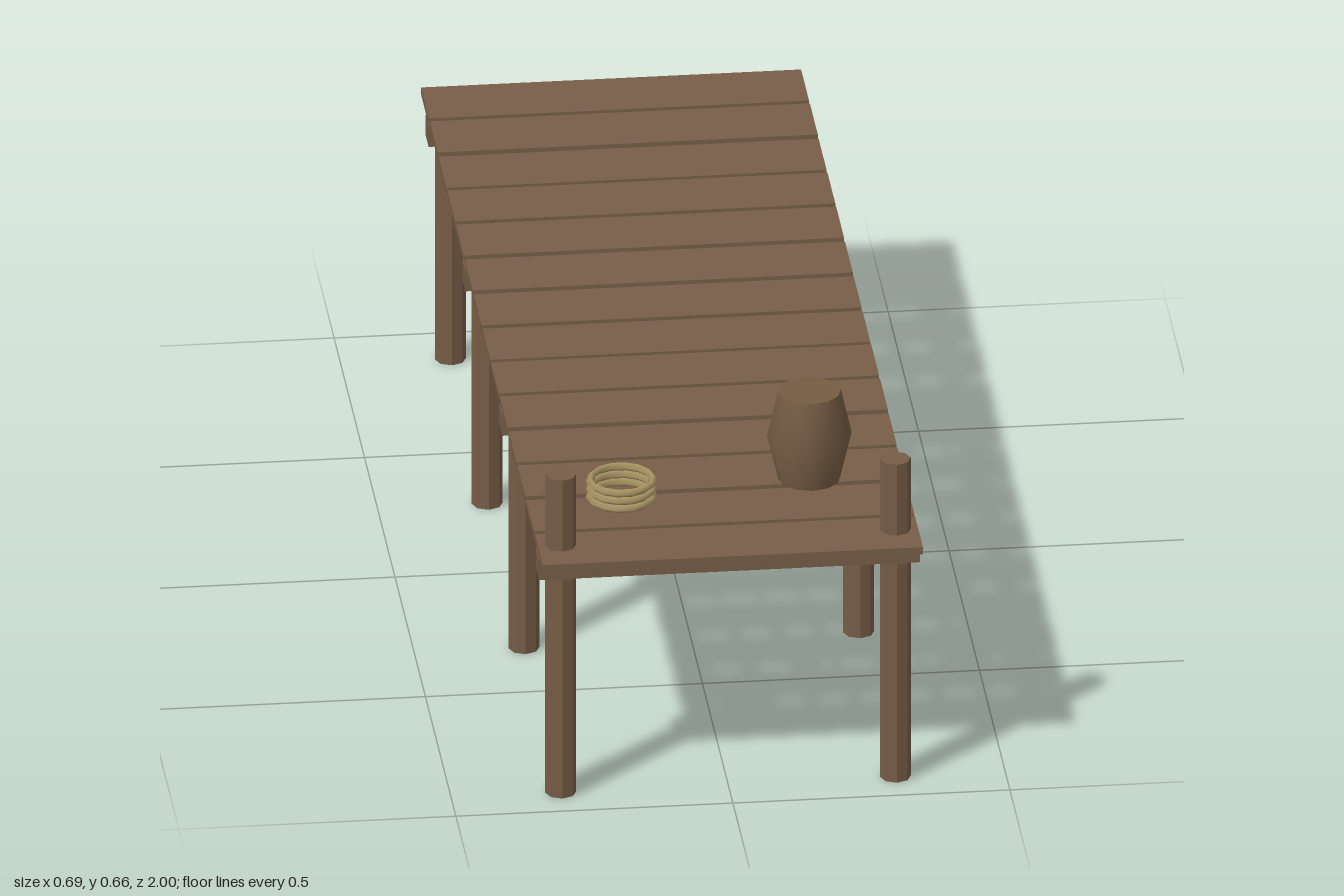
import * as THREE from 'three';

const mat = (name, color) => new THREE.MeshStandardMaterial({ name, color });

export function createModel() {
  const model = new THREE.Group();
  model.name = 'jetty';
  const plankWood = mat('plankWood', 0x785e49);
  const beamWood = mat('beamWood', 0x765d47);
  const barrelWood = mat('barrelWood', 0x755c43);
  const ropeTan = mat('ropeTan', 0xac9765);

  const add = (name, geometry, material, x, y, z, parent = model) => {
    const mesh = new THREE.Mesh(geometry, material);
    mesh.name = name;
    mesh.position.set(x, y, z);
    parent.add(mesh);
    return mesh;
  };

  // Deck planks, laid slightly unevenly
  const lift = [0, 0.001, -0.001, 0.0005, 0.001, 0, -0.001, -0.001, 0.0005, 0.0015, 0, 0.001, 0, 0.001];
  const plank = new THREE.BoxGeometry(0.686, 0.014, 0.13);
  for (let i = 0; i < 14; i++) {
    add('plank', plank, plankWood, 0, 0.483 + lift[i], -0.935 + i * (1.87 / 13));
  }

  // Long stringers under the deck
  for (const side of [-1, 1]) {
    add('stringer', new THREE.BoxGeometry(0.033, 0.029, 1.95), beamWood, side * 0.302, 0.4615, 0);
  }

  // Four trestles: a cross beam on two round piles; the front piles rise above the deck
  for (let i = 0; i < 4; i++) {
    const z = 0.92 - i * 0.604;
    const height = i === 0 ? 0.632 : 0.474;
    add('crossBeam', new THREE.BoxGeometry(0.688, 0.04, 0.05), beamWood, 0, 0.455, z);
    for (const side of [-1, 1]) {
      const pile = new THREE.CylinderGeometry(0.028, 0.028, height, 8).toNonIndexed();
      pile.computeVertexNormals();
      add(i === 0 ? 'mooringPile' : 'pile', pile, beamWood, side * 0.302, height / 2, z);
    }
  }

  // Barrel with closed ends
  const barrel = new THREE.Group();
  barrel.name = 'barrel';
  barrel.position.set(0.172, 0.491, 0.69);
  model.add(barrel);
  const profile = [[0.056, 0], [0.0765, 0.087], [0.057, 0.173]].map(([r, y]) => new THREE.Vector2(r, y));
  add('barrelStaves', new THREE.LatheGeometry(profile, 12), barrelWood, 0, 0, 0, barrel);
  // Lids share the corner angles of the staves
  add('barrelLid', new THREE.CircleGeometry(0.057, 12).rotateX(-Math.PI / 2), barrelWood, 0, 0.173, 0, barrel);
  add('barrelBase', new THREE.CircleGeometry(0.056, 12).rotateX(Math.PI / 2), barrelWood, 0, 0, 0, barrel);

  // Coil of rope: three stacked rings
  const rope = new THREE.Group();
  rope.name = 'ropeCoil';
  rope.position.set(-0.173, 0.4995, 0.745);
  model.add(rope);
  const ring = new THREE.TorusGeometry(0.057, 0.0078, 4, 14).rotateX(Math.PI / 2);
  for (let i = 0; i < 3; i++) add('ropeRing', ring, ropeTan, 0, i * 0.0155, 0, rope);

  return model;
}
